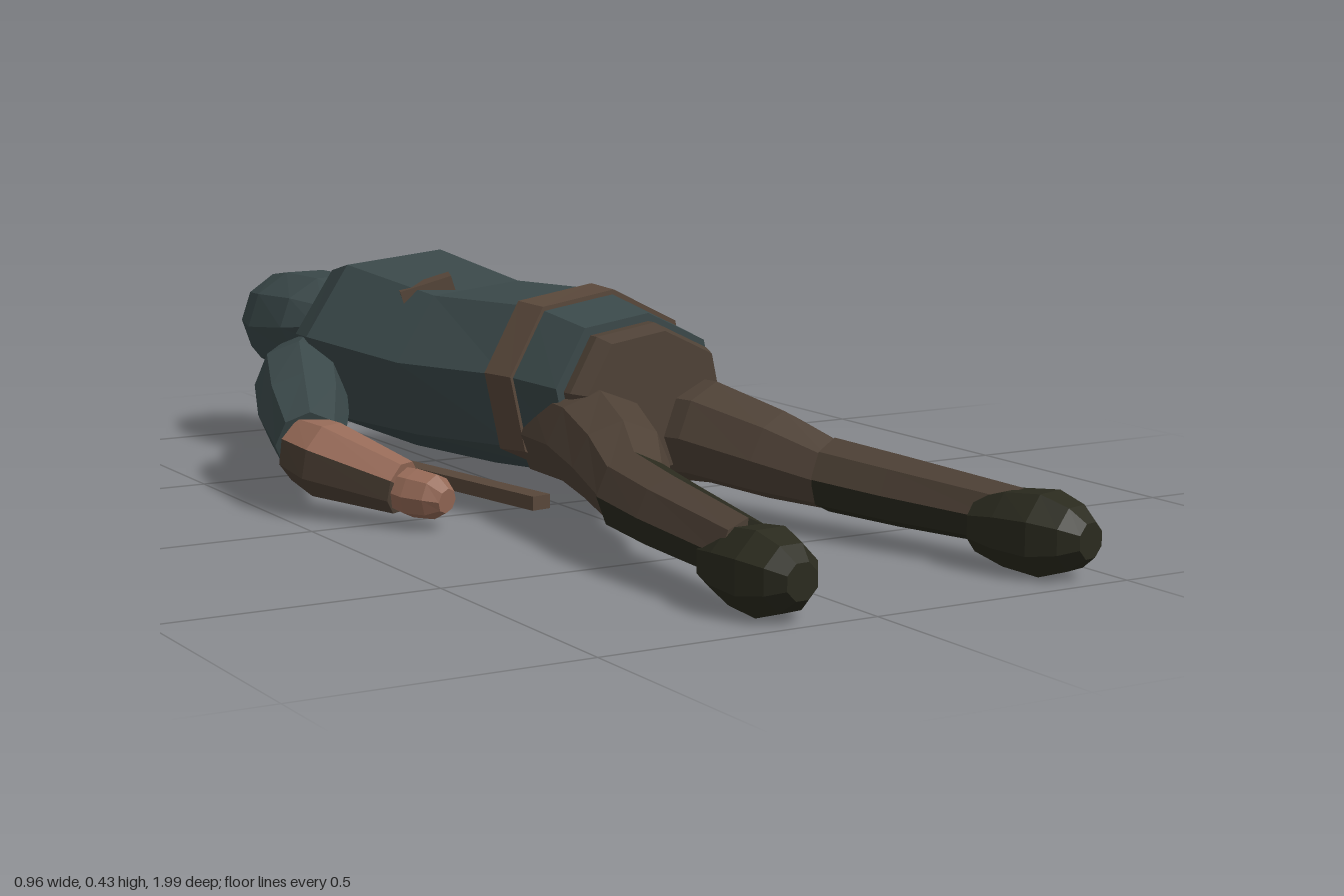
import * as THREE from 'three';

const mat = (name, color) => {
  const m = new THREE.MeshStandardMaterial({ color, flatShading: true, side: THREE.DoubleSide });
  m.name = name;
  return m;
};

// Skin rings [x, y, z, halfWidth, halfHeight] into a faceted tube, optionally only some sides.
function loft(rings, { sides = 8, axis = null, roll = 0, power = 1, from = 0, to = sides, phase = 0 } = {}) {
  const centres = rings.map(r => new THREE.Vector3(r[0], r[1], r[2]));
  const up = new THREE.Vector3(0, 1, 0);
  const soft = c => Math.sign(c) * Math.abs(c) ** power;
  const last = rings.length - 1;
  const loops = rings.map((r, i) => {
    const t = axis ? axis.clone() : centres[Math.min(i + 1, last)].clone().sub(centres[Math.max(i - 1, 0)]);
    t.normalize();
    const u = up.clone().cross(t).normalize().applyAxisAngle(t, roll);
    const v = t.clone().cross(u);
    return Array.from({ length: sides }, (_, k) => {
      const a = ((k + phase) / sides) * Math.PI * 2;
      return centres[i].clone()
        .addScaledVector(u, soft(Math.cos(a)) * r[3])
        .addScaledVector(v, soft(Math.sin(a)) * (r[4] ?? r[3]));
    });
  });
  const pts = [];
  for (let j = from; j < to; j++) {
    const k = j % sides, n = (j + 1) % sides;
    for (let i = 0; i < last; i++) {
      const [a, b, c, d] = [loops[i][k], loops[i][n], loops[i + 1][n], loops[i + 1][k]];
      pts.push(a, b, c, a, c, d);
    }
    pts.push(centres[0], loops[0][n], loops[0][k], centres[last], loops[last][k], loops[last][n]);
  }
  const g = new THREE.BufferGeometry().setFromPoints(pts);
  g.computeVertexNormals();
  return g;
}

export function createModel() {
  const model = new THREE.Group();
  model.name = 'proneFigure';
  const cloth = mat('slate cloth', 0x3a4849);
  const trousers = mat('brown trousers', 0x4e4136);
  const leather = mat('leather', 0x58473a);
  const skin = mat('skin', 0x966a57);
  const boot = mat('dark boots', 0x2a2a1e);

  const add = (name, geometry, material) => {
    const m = new THREE.Mesh(geometry, material);
    m.name = name;
    model.add(m);
    return m;
  };
  const box = (name, size, pos, material, yaw = 0) => {
    const m = add(name, new THREE.BoxGeometry(...size), material);
    m.position.set(...pos);
    m.rotation.y = yaw;
    return m;
  };

  // Torso, lying face down, turned and rolled a little
  const yaw = 0.17;
  const body = { axis: new THREE.Vector3(Math.sin(yaw), 0, Math.cos(yaw)), roll: -0.16, power: 0.85 };
  add('jacket', loft([
    [-0.03, 0.245, -0.605, 0.18, 0.085],
    [-0.045, 0.24, -0.545, 0.265, 0.175],
    [-0.04, 0.243, -0.45, 0.293, 0.195],
    [0.0, 0.225, -0.2, 0.26, 0.175],
    [0.05, 0.233, 0.04, 0.213, 0.172],
    [0.072, 0.225, 0.165, 0.193, 0.15],
  ], body), cloth);
  add('belt', loft([
    [0.042, 0.233, 0.005, 0.224, 0.181],
    [0.055, 0.232, 0.065, 0.216, 0.176],
  ], body), leather);
  add('pelvis', loft([
    [0.065, 0.22, 0.06, 0.175, 0.142],
    [0.075, 0.22, 0.185, 0.177, 0.14],
    [0.08, 0.22, 0.215, 0.162, 0.128],
  ], body), trousers);

  // Chest straps underneath and a pouch on the back
  for (const [name, x] of [['rightStrap', -0.145], ['leftStrap', 0.115]])
    box(name, [0.04, 0.026, 0.64], [x, 0.033, -0.215], leather, yaw);
  const pouch = box('backPouch', [0.1, 0.05, 0.07], [-0.145, 0.378, -0.24], leather, -0.4);
  pouch.rotation.z = 0.3;

  // Arms: sleeve, forearm with bare skin on one half and a brown guard on the other, hand
  const arms = [
    { side: 'right', guardFrom: 3, phase: 0.5,
      sleeve: [[-0.285, 0.205, -0.47, 0.082, 0.085], [-0.33, 0.195, -0.42, 0.088, 0.09],
        [-0.378, 0.16, -0.3, 0.085, 0.085], [-0.425, 0.125, -0.17, 0.063, 0.066]],
      forearm: [[-0.43, 0.118, -0.185, 0.058, 0.064], [-0.415, 0.106, -0.12, 0.066, 0.072],
        [-0.335, 0.072, 0.03, 0.046, 0.05]],
      hand: [[-0.345, 0.072, 0.0, 0.036, 0.038], [-0.32, 0.064, 0.05, 0.045, 0.045],
        [-0.3, 0.062, 0.09, 0.041, 0.041], [-0.29, 0.058, 0.115, 0.023, 0.023]] },
    { side: 'left', guardFrom: 1, phase: 0,
      sleeve: [[0.13, 0.22, -0.5, 0.08, 0.09], [0.2, 0.2, -0.56, 0.095, 0.105],
        [0.27, 0.15, -0.65, 0.086, 0.088], [0.335, 0.112, -0.735, 0.055, 0.064]],
      forearm: [[0.345, 0.11, -0.735, 0.048, 0.058], [0.3, 0.098, -0.785, 0.053, 0.06],
        [0.14, 0.068, -0.93, 0.039, 0.041]],
      hand: [[0.165, 0.072, -0.905, 0.033, 0.036], [0.13, 0.067, -0.935, 0.043, 0.04],
        [0.11, 0.064, -0.962, 0.041, 0.037], [0.098, 0.062, -0.985, 0.023, 0.023]] },
  ];
  for (const { side, guardFrom, phase, sleeve, forearm, hand } of arms) {
    add(side + 'UpperArm', loft(sleeve), cloth);
    add(side + 'ForearmGuard', loft(forearm, { phase, from: guardFrom, to: guardFrom + 4 }), trousers);
    add(side + 'Forearm', loft(forearm, { phase, from: guardFrom + 4, to: guardFrom + 8 }), skin);
    add(side + 'Hand', loft(hand), skin);
  }

  // Legs: thigh, calf cloth above, boot shaft below, boot
  const legs = [
    { side: 'right', calfFrom: 2,
      thigh: [[-0.03, 0.16, 0.08, 0.098], [-0.052, 0.163, 0.24, 0.098, 0.092],
        [-0.085, 0.145, 0.37, 0.086, 0.082], [-0.13, 0.12, 0.49, 0.064]],
      shin: [[-0.128, 0.12, 0.48, 0.068, 0.071], [-0.14, 0.11, 0.62, 0.064, 0.066], [-0.15, 0.094, 0.86, 0.05, 0.056]],
      foot: [-0.145, 0.01, 0.01] },
    { side: 'left', calfFrom: 1,
      thigh: [[0.165, 0.15, 0.06, 0.1], [0.2, 0.155, 0.22, 0.096, 0.094],
        [0.25, 0.13, 0.35, 0.082], [0.297, 0.105, 0.47, 0.061]],
      shin: [[0.293, 0.108, 0.46, 0.063, 0.067], [0.34, 0.098, 0.6, 0.06, 0.063], [0.405, 0.088, 0.84, 0.048, 0.052]],
      foot: [0.407, 0.035, 0] },
  ];
  for (const { side, calfFrom, thigh, shin, foot: [fx, dx, dz] } of legs) {
    add(side + 'Thigh', loft(thigh), trousers);
    add(side + 'Calf', loft(shin, { from: calfFrom, to: 4 }), trousers);
    add(side + 'BootShaft', loft(shin, { from: 4, to: 8 + calfFrom }), boot);
    add(side + 'Boot', loft([
      [-1, 0.78, 0.05], [-0.4, 0.835, 0.068], [0.2, 0.905, 0.075], [0.6, 0.955, 0.057], [0.8, 0.984, 0.032],
    ].map(([s, z, r]) => [fx + s * dx, 0.073, z + dz, r, r]), { phase: 0.5 }), boot);
  }

  // Neck, head and hood
  add('neck', loft([
    [-0.1, 0.23, -0.72, 0.055, 0.055], [-0.07, 0.23, -0.56, 0.058, 0.058],
  ]), skin);
  add('hood', loft([
    [-0.12, 0.25, -0.985, 0.06, 0.068],
    [-0.12, 0.252, -0.95, 0.105, 0.097],
    [-0.122, 0.252, -0.85, 0.134, 0.112],
    [-0.11, 0.266, -0.72, 0.138, 0.098],
    [-0.095, 0.276, -0.64, 0.115, 0.066],
  ], { sides: 10 }), cloth);
  const head = add('head', new THREE.SphereGeometry(1, 10, 7), skin);
  head.scale.set(0.1, 0.09, 0.105);
  head.position.set(-0.11, 0.2, -0.74);
  const nose = add('nose', new THREE.ConeGeometry(0.02, 0.05, 4), skin);
  nose.rotation.x = Math.PI;
  nose.position.set(-0.11, 0.1, -0.74);
  for (const s of [-1, 1]) {
    const side = s < 0 ? 'right' : 'left';
    const ear = add(side + 'Ear', new THREE.SphereGeometry(0.03, 6, 4), skin);
    ear.scale.x = 0.6;
    ear.position.set(-0.11 + s * 0.125, 0.205, -0.7);
    box(side + 'Eye', [0.026, 0.008, 0.014], [-0.11 + s * 0.04, 0.122, -0.765], boot);
    box(side + 'Brow', [0.042, 0.008, 0.012], [-0.11 + s * 0.04, 0.128, -0.79], leather);
  }
  box('mouth', [0.05, 0.008, 0.012], [-0.11, 0.12, -0.69], leather);

  return model;
}
